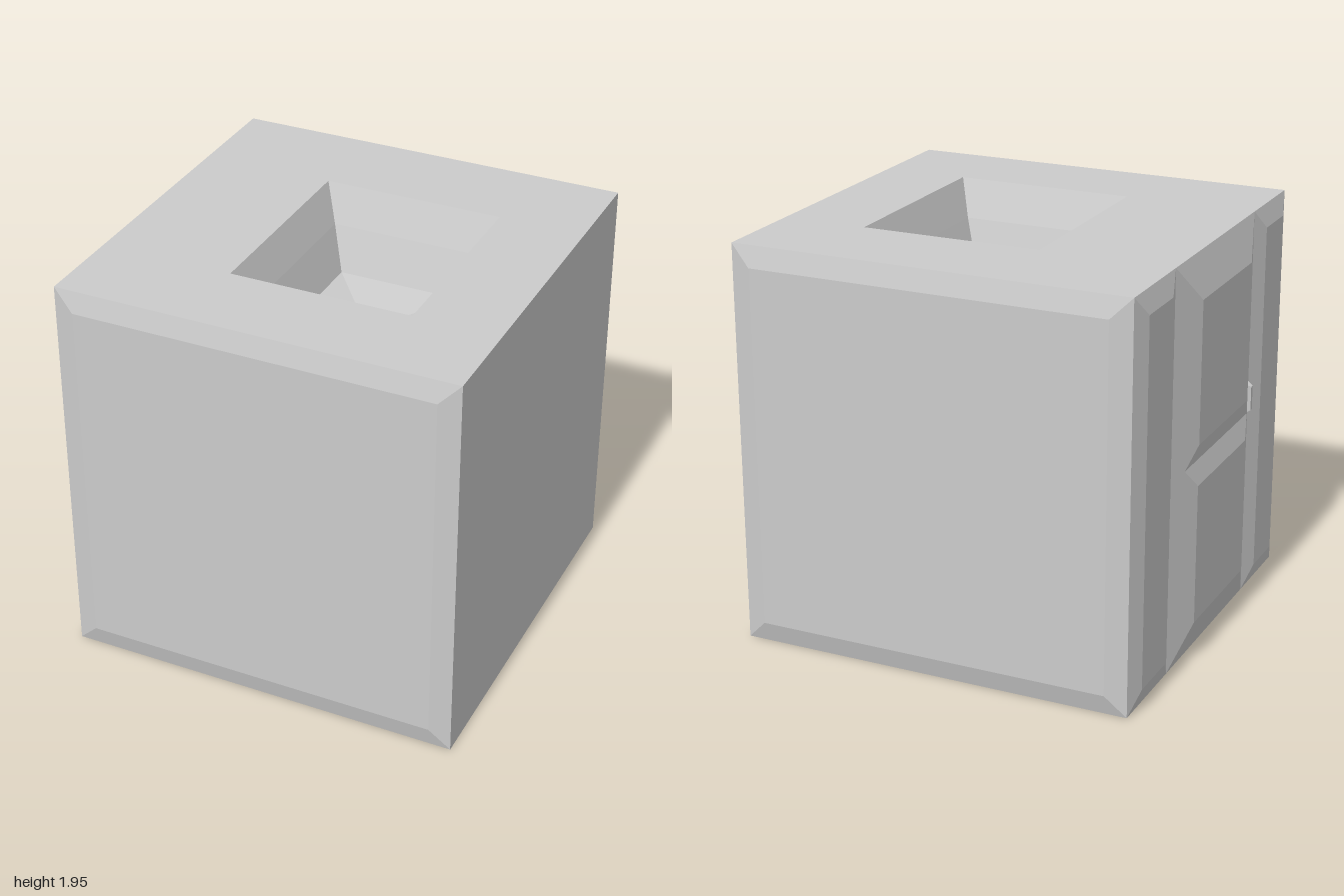
import * as THREE from 'three';

const grey = new THREE.MeshStandardMaterial({ color: 0xcccccc, flatShading: true });
const H = 1.945;

// Mesh from convex planar polygons, each a list of [x, y, z] corners, counterclockwise.
function polyMesh(name, polys) {
  const pos = [];
  for (const p of polys)
    for (let i = 1; i < p.length - 1; i++) pos.push(...p[0], ...p[i], ...p[i + 1]);
  const geo = new THREE.BufferGeometry();
  geo.setAttribute('position', new THREE.Float32BufferAttribute(pos, 3));
  geo.computeVertexNormals();
  const mesh = new THREE.Mesh(geo, grey);
  mesh.name = name;
  return mesh;
}

// Rectangular rings [x0, x1, z0, z1, y] joined in order; the last one is capped.
function loft(name, rings, bottomCap = false) {
  const loops = rings.map(([x0, x1, z0, z1, y]) => [[x0, y, z1], [x1, y, z1], [x1, y, z0], [x0, y, z0]]);
  const polys = [loops[loops.length - 1]];
  if (bottomCap) polys.push([...loops[0]].reverse());
  for (let r = 0; r < loops.length - 1; r++) {
    const a = loops[r], b = loops[r + 1];
    for (let i = 0; i < 4; i++) {
      const j = (i + 1) % 4;
      polys.push([a[i], a[j], b[j], b[i]]);
    }
  }
  return polyMesh(name, polys);
}

// Bevelled slab lying in the local xz plane and rising along +y.
function panel(name, w, d, inset, rise) {
  const x = w / 2, z = d / 2;
  return loft(name, [[-x, x, -z, z, 0], [-x + inset, x - inset, -z + inset, z - inset, rise]]);
}

// Bevelled slab with a shallow V groove across its middle.
function groovedPanel(name, w, d, inset, rise) {
  const x = w / 2, z = d / 2, px = x - inset, pz = z - inset;
  const g = 0.1, gy = rise / 2, gz = z - inset / 2;
  const half = [
    [[g, rise, pz], [px, rise, pz], [px, rise, -pz], [g, rise, -pz]],
    [[0, gy, gz], [g, rise, pz], [g, rise, -pz], [0, gy, -gz]],
    [[px, rise, pz], [x, 0, z], [x, 0, -z], [px, rise, -pz]],
    [[0, 0, z], [x, 0, z], [px, rise, pz], [g, rise, pz], [0, gy, gz]],
    [[0, gy, -gz], [g, rise, -pz], [px, rise, -pz], [x, 0, -z], [0, 0, -z]],
  ];
  const mirrored = half.map(p => p.map(([a, b, c]) => [-a, b, c]).reverse());
  return polyMesh(name, [...half, ...mirrored]);
}

export function createModel() {
  const model = new THREE.Group();

  // Block with a stepped, funnel-shaped basin in its top
  const block = loft('block', [
    [-0.94, 1, -0.96, 0.955, 0],
    [-0.94, 1, -0.96, 0.955, H],
    [-0.295, 0.585, -0.49, 0.52, H],
    [-0.225, 0.52, -0.415, 0.44, H - 0.18],
    [-0.155, 0.445, -0.34, 0.37, H - 0.39],
    [0.09, 0.19, -0.05, 0.07, H - 0.44],
    [0.09, 0.19, -0.05, 0.07, H - 0.6],
  ], true);
  model.add(block);

  // Bevelled front and back panels
  const front = panel('frontPanel', 1.94, H, 0.1, 0.025);
  front.rotation.x = Math.PI / 2;
  front.position.set(0.03, H / 2, 0.955);
  const back = panel('backPanel', 1.94, H, 0.1, 0.028);
  back.rotation.x = -Math.PI / 2;
  back.position.set(0.03, H / 2, -0.96);
  model.add(front, back);

  // Right side: two narrow bands around a wide two-part door
  const bands = [['rearBand', -0.96, -0.49], ['frontBand', 0.52, 0.955]];
  for (const [name, z0, z1] of bands) {
    const band = panel(name, H, z1 - z0, 0.1, 0.03);
    band.rotation.z = Math.PI / 2;
    band.position.set(-0.94, H / 2, (z0 + z1) / 2);
    model.add(band);
  }
  const door = groovedPanel('door', H, 1.01, 0.19, 0.06);
  door.rotation.z = Math.PI / 2;
  door.position.set(-0.94, H / 2, 0.015);
  model.add(door);

  // Small latch beside the door
  const latch = panel('latch', 0.15, 0.05, 0.015, 0.028);
  latch.rotation.z = Math.PI / 2;
  latch.position.set(-0.942, 1.03, 0.49);
  model.add(latch);

  return model;
}
